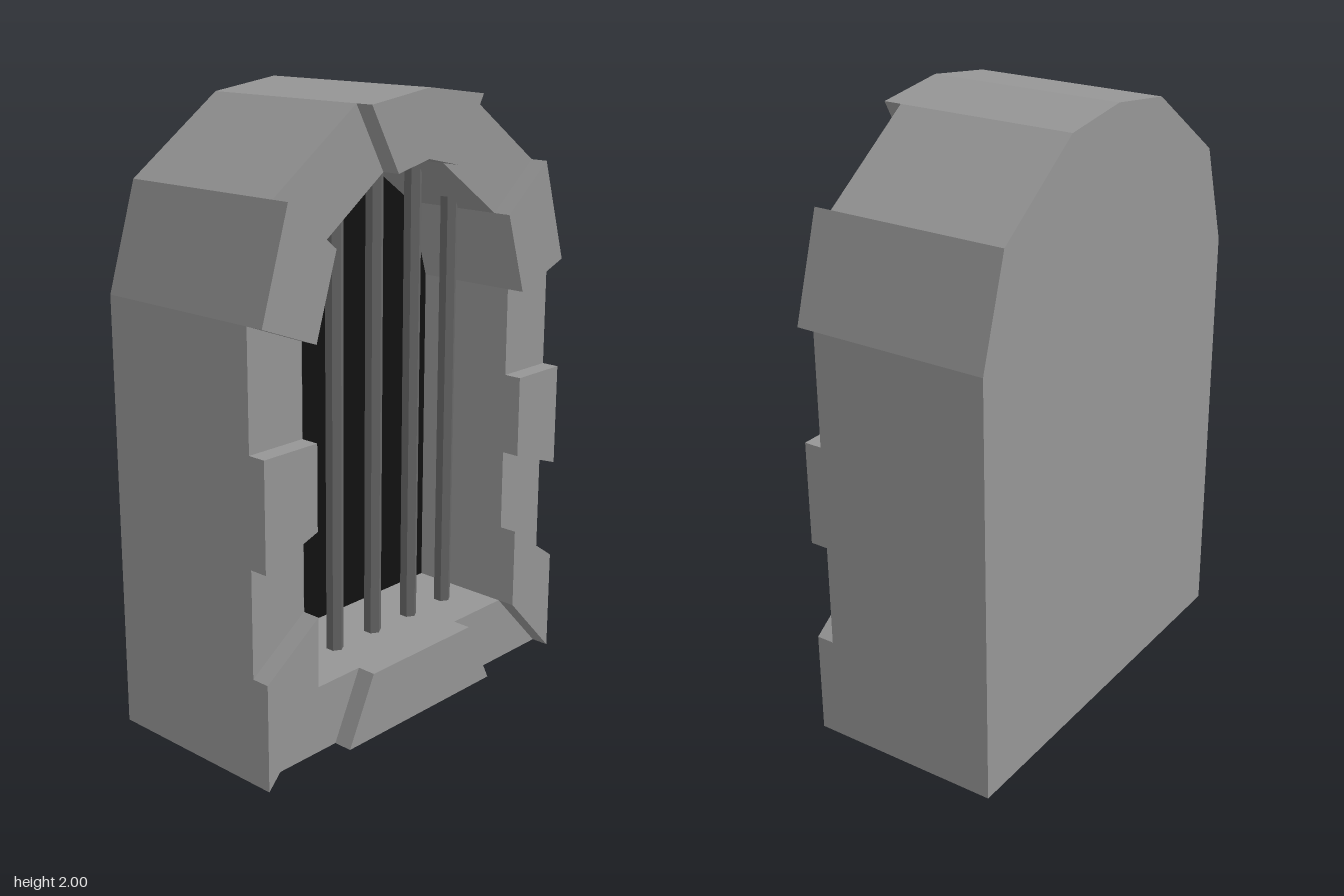
import * as THREE from 'three';

const BACK = -0.328, FACE = 0.262, RAISED = 0.322, RECESS = -0.09;

// Half outlines as [z, y], from the sill centre round to the crown;
// each outer point pairs with the inner point of the same index.
const outerHalf = [[0.343, 0], [0.687, 0], [0.687, 0.345], [0.687, 0.687], [0.687, 1.03],
  [0.687, 1.4], [0.583, 1.733], [0.25, 1.967], [0, 2]];
const innerHalf = [[0.235, 0.22], [0.477, 0.22], [0.477, 0.49], [0.477, 0.76], [0.477, 1.03],
  [0.477, 1.32], [0.395, 1.58], [0.135, 1.763], [0, 1.793]];

// Mirror a half outline into a closed ring
const ring = half => [...half, ...half.slice(0, -1).reverse().map(([z, y]) => [-z, y])];

// Extrude a [z, y] outline along x between two depths; a hole runs the opposite way round
function slab(name, outline, x0, x1, material, hole) {
  const toPoints = pts => pts.map(([z, y]) => new THREE.Vector2(-z, y));
  const shape = new THREE.Shape(toPoints(outline));
  if (hole) shape.holes.push(new THREE.Path(toPoints(hole).reverse()));
  const geometry = new THREE.ExtrudeGeometry(shape, { depth: x1 - x0, bevelEnabled: false });
  geometry.rotateY(Math.PI / 2).translate(x0, 0, 0);
  const mesh = new THREE.Mesh(geometry, material);
  mesh.name = name;
  return mesh;
}

// Height of the opening's ceiling at a given z
function ceilingAt(z) {
  const a = Math.abs(z);
  for (let i = innerHalf.length - 1; i > 0; i--) {
    const [z0, y0] = innerHalf[i], [z1, y1] = innerHalf[i - 1];
    if (a <= z1) return y0 + (y1 - y0) * (a - z0) / (z1 - z0);
  }
  return 0;
}

export function createModel() {
  const group = new THREE.Group();
  group.name = 'barredWindow';
  const stone = new THREE.MeshStandardMaterial({ color: 0x969696, flatShading: true });
  const dark = new THREE.MeshStandardMaterial({ color: 0x111111, flatShading: true });
  const iron = new THREE.MeshStandardMaterial({ color: 0x666666, flatShading: true });
  const outer = ring(outerHalf), inner = ring(innerHalf);

  // Solid back, hollow surround and dark panel inside the opening
  group.add(slab('backWall', outer, BACK, RECESS - 0.01, stone));
  group.add(slab('surround', outer, RECESS - 0.01, FACE, stone, inner));
  group.add(slab('darkPanel', inner, RECESS - 0.01, RECESS, dark));

  // Raised blocks, every second stone up each side
  for (const side of [1, -1]) {
    for (const i of [1, 3, 5]) {
      const block = [outerHalf[i], outerHalf[i + 1], innerHalf[i + 1], innerHalf[i]];
      group.add(slab('sideBlock', block.map(([z, y]) => [z * side, y]), FACE, RAISED, stone));
    }
  }

  // Raised sill and keystone span the centre line
  const flip = ([z, y]) => [-z, y];
  const sill = [outerHalf[0], innerHalf[0], flip(innerHalf[0]), flip(outerHalf[0])];
  group.add(slab('sillBlock', sill, FACE, RAISED + 0.003, stone));
  const keystone = [outerHalf[7], outerHalf[8], flip(outerHalf[7]),
    flip(innerHalf[7]), innerHalf[8], innerHalf[7]];
  group.add(slab('keystone', keystone, FACE, RAISED, stone));

  // Upright bars from the sill into the ceiling
  for (let i = -2; i <= 2; i++) {
    const z = i * 0.179, bottom = 0.2, top = ceilingAt(z) + 0.03;
    const geometry = new THREE.CylinderGeometry(0.029, 0.029, top - bottom, 6);
    geometry.rotateY(Math.PI / 6);
    const bar = new THREE.Mesh(geometry, iron);
    bar.name = 'bar';
    bar.position.set(0.105, (top + bottom) / 2, z);
    group.add(bar);
  }
  return group;
}
